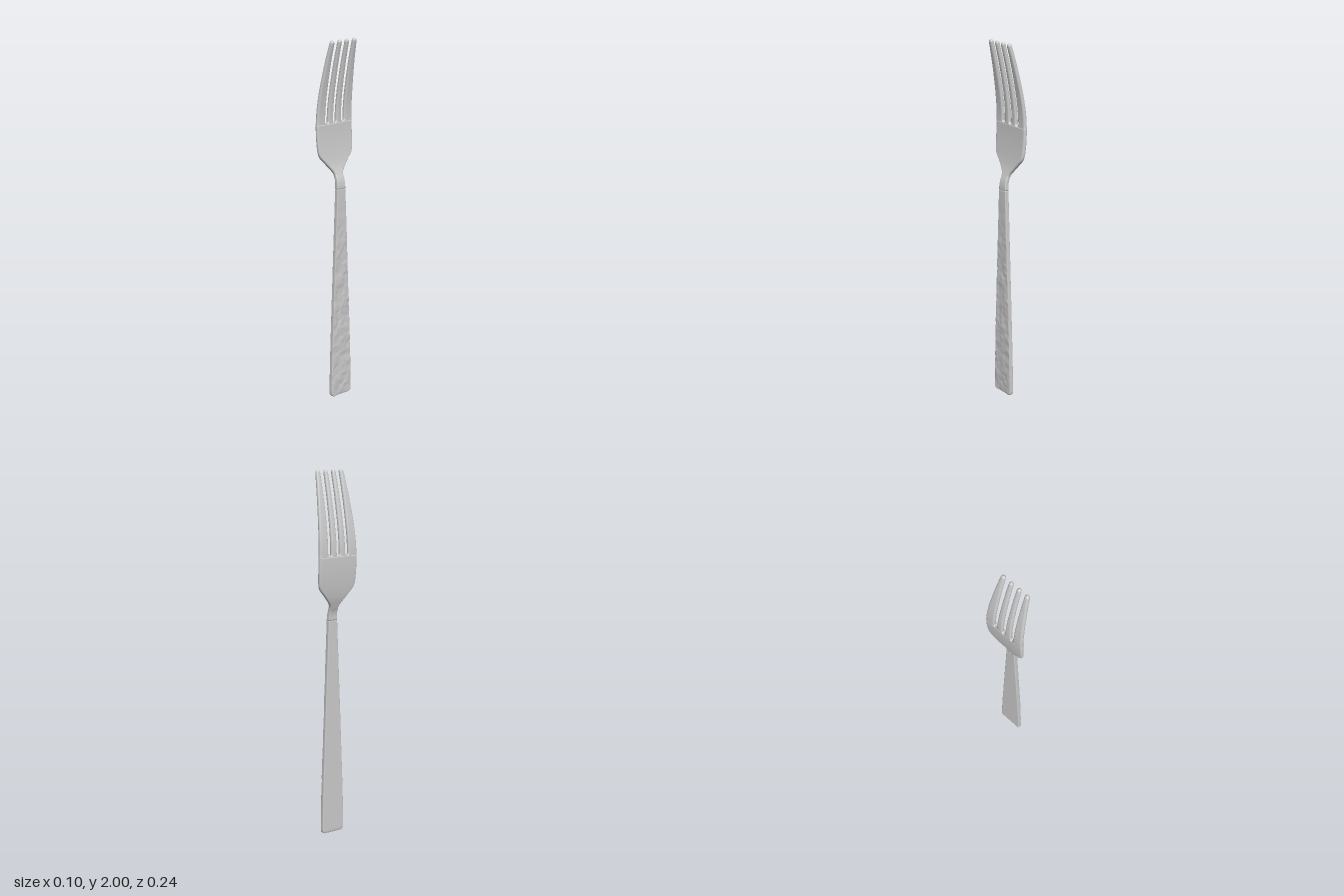
import * as THREE from 'three';

// Smooth interpolation through [y, value] pairs
function along(table, y) {
  let i = 0;
  while (i < table.length - 2 && y > table[i + 1][0]) i++;
  const slope = (k) => {
    const a = table[Math.max(k - 1, 0)], b = table[Math.min(k + 1, table.length - 1)];
    return (b[1] - a[1]) / (b[0] - a[0]);
  };
  const [y0, v0] = table[i], [y1, v1] = table[i + 1];
  const h = y1 - y0, t = THREE.MathUtils.clamp((y - y0) / h, 0, 1), t2 = t * t, t3 = t2 * t;
  return (2 * t3 - 3 * t2 + 1) * v0 + (t3 - 2 * t2 + t) * h * slope(i)
    + (3 * t2 - 2 * t3) * v1 + (t3 - t2) * h * slope(i + 1);
}

// Side profile (x of the mid-surface) and half width by height
const SPINE = [[0, 0.012], [0.6, 0.012], [1.15, 0.012], [1.22, 0.011], [1.25, 0.006], [1.28, -0.005], [1.33, -0.020],
  [1.4, -0.031], [1.5, -0.039], [1.6, -0.039], [1.7, -0.028], [1.8, -0.010], [1.9, 0.012], [2, 0.038]];
const HALF_WIDTH = [[0, 0.071], [0.2, 0.067], [0.6, 0.052], [1, 0.036], [1.2, 0.028], [1.27, 0.027], [1.29, 0.034],
  [1.32, 0.058], [1.35, 0.084], [1.375, 0.106], [1.4, 0.115], [1.45, 0.119], [1.52, 0.120], [1.6, 0.118],
  [1.7, 0.113], [1.8, 0.105], [1.9, 0.096], [2, 0.086]];
const SLOT_Y = 1.55, TIP_Y = 1.998;

// Rounded-rectangle ring of [x, z], counter-clockwise from above
function ring(hw, ht, r, faceSteps) {
  const pts = [], corner = 5;
  r = Math.min(r, hw, ht);
  const arc = (cx, cz, start) => {
    for (let i = 0; i <= corner; i++) {
      const a = start + (i / corner) * Math.PI / 2;
      pts.push([cx + r * Math.cos(a), cz - r * Math.sin(a)]);
    }
  };
  const face = (x, from, to) => {
    for (let i = 1; i < faceSteps; i++) pts.push([x, from + (to - from) * i / faceSteps]);
  };
  const x = ht - r, z = hw - r;
  face(ht, z, -z);
  arc(x, -z, 0);
  arc(-x, -z, Math.PI / 2);
  face(-ht, -z, z);
  arc(-x, z, Math.PI);
  arc(x, z, Math.PI * 1.5);
  return pts;
}

// Skin rings along the spine; section(y) gives { z, hw, ht, r }
function loft(name, heights, section, faceSteps, relief) {
  const pos = [], index = [];
  let n = 0;
  for (const y of heights) {
    const s = section(y);
    const angle = Math.atan((along(SPINE, y + 0.004) - along(SPINE, y - 0.004)) / 0.008);
    const pts = ring(s.hw, s.ht, s.r, faceSteps);
    n = pts.length;
    for (const [v, z] of pts) {
      const d = v + (relief ? relief(y, z, v / s.ht) : 0);
      pos.push(along(SPINE, y) + d * Math.cos(angle), y - d * Math.sin(angle), s.z + z);
    }
  }
  const rows = heights.length;
  for (let i = 0; i < rows - 1; i++) {
    for (let j = 0; j < n; j++) {
      const a = i * n + j, b = i * n + (j + 1) % n;
      index.push(a, b, b + n, a, b + n, a + n);
    }
  }
  // End caps
  for (const row of [0, rows - 1]) {
    const c = pos.length / 3, y = heights[row];
    pos.push(along(SPINE, y), y, section(y).z);
    for (let j = 0; j < n; j++) {
      const a = row * n + j, b = row * n + (j + 1) % n;
      if (row === 0) index.push(c, b, a); else index.push(c, a, b);
    }
  }
  const geo = new THREE.BufferGeometry();
  geo.setAttribute('position', new THREE.Float32BufferAttribute(pos, 3));
  geo.setIndex(index);
  geo.computeVertexNormals();
  const mesh = new THREE.Mesh(geo, new THREE.MeshStandardMaterial({ color: 0xcccccc }));
  mesh.name = name;
  return mesh;
}

const steps = (from, to, count) => Array.from({ length: count + 1 }, (_, i) => from + (to - from) * i / count);

// Seeded smooth noise for the hammered finish
function hash(i, j) {
  const s = Math.sin(i * 127.1 + j * 311.7) * 43758.5453;
  return s - Math.floor(s);
}
function noise(u, v) {
  const i = Math.floor(u), j = Math.floor(v);
  const f = THREE.MathUtils.smoothstep(u - i, 0, 1), g = THREE.MathUtils.smoothstep(v - j, 0, 1);
  const { lerp } = THREE.MathUtils;
  return lerp(lerp(hash(i, j), hash(i + 1, j), f), lerp(hash(i, j + 1), hash(i + 1, j + 1), f), g);
}
function hammered(y, z, side) {
  const fade = 1 - THREE.MathUtils.smoothstep(y, 0.7, 1.18);
  const bump = noise(y * 30 + 9, z * 42 + 50) * 0.7 + noise(y * 62, z * 80 + 20) * 0.3 - 0.5;
  return Math.max(side, 0) * bump * 0.0065 * (0.25 + 0.75 * fade) * THREE.MathUtils.smoothstep(1.2 - y, 0, 0.06);
}

export function createModel() {
  const group = new THREE.Group();
  group.name = 'fork';

  // Handle: tapering bar with rounded end corners and a hammered +x face
  const handleSection = (y) => {
    const t = Math.max(0, 1 - y / 0.02), round = 1 - Math.sqrt(1 - t * t);
    return { z: 0, hw: along(HALF_WIDTH, y) - 0.018 * round, ht: 0.0125 - 0.004 * round, r: 0.005 };
  };
  group.add(loft('handle', [0, 0.0008, 0.003, 0.006, 0.01, 0.015, ...steps(0.02, 1.2, 200)], handleSection, 24, hammered));

  // Neck and palm: flares out from the handle to the tine roots
  group.add(loft('neckAndPalm', steps(1.2, SLOT_Y, 60), (y) => {
    const t = THREE.MathUtils.smoothstep(y, 1.2, 1.3);
    return { z: 0, hw: along(HALF_WIDTH, y), ht: 0.0125 - 0.0015 * t, r: 0.005 + 0.004 * t };
  }, 16));

  // Tines: separated by slots with rounded roots, ending in rounded tips
  const tineHeights = [...[0, 0.0004, 0.0015, 0.003, 0.006, 0.009].map((d) => SLOT_Y + d),
    ...steps(SLOT_Y + 0.012, TIP_Y - 0.014, 40),
    ...[0.011, 0.008, 0.005, 0.003, 0.0015, 0.0005, 0].map((d) => TIP_Y - d)];
  const tineSection = (y, outer, side) => {
    const t = (y - SLOT_Y) / (TIP_Y - SLOT_Y);
    const k = Math.max(0, 1 - (y - SLOT_Y) / 0.012);
    const gap = (0.009 + 0.004 * t) * Math.sqrt(1 - k * k);
    const slot = 0.055 - 0.006 * t;
    const a = outer ? slot + gap : gap;
    const b = outer ? along(HALF_WIDTH, y) : slot - gap;
    const e = THREE.MathUtils.clamp(1 - (TIP_Y - y) / 0.014, 0, 1);
    const tip = Math.max(0.12, Math.sqrt(1 - e * e));
    const ht = 0.011 * tip;
    return { z: side * (a + b) / 2, hw: tip * (b - a) / 2, ht, r: ht * (0.5 + 0.4 * (1 - k)) };
  };
  for (const side of [1, -1]) {
    for (const outer of [true, false]) {
      const name = (side > 0 ? 'front' : 'back') + (outer ? 'OuterTine' : 'InnerTine');
      group.add(loft(name, tineHeights, (y) => tineSection(y, outer, side), 4));
    }
  }
  return group;
}
